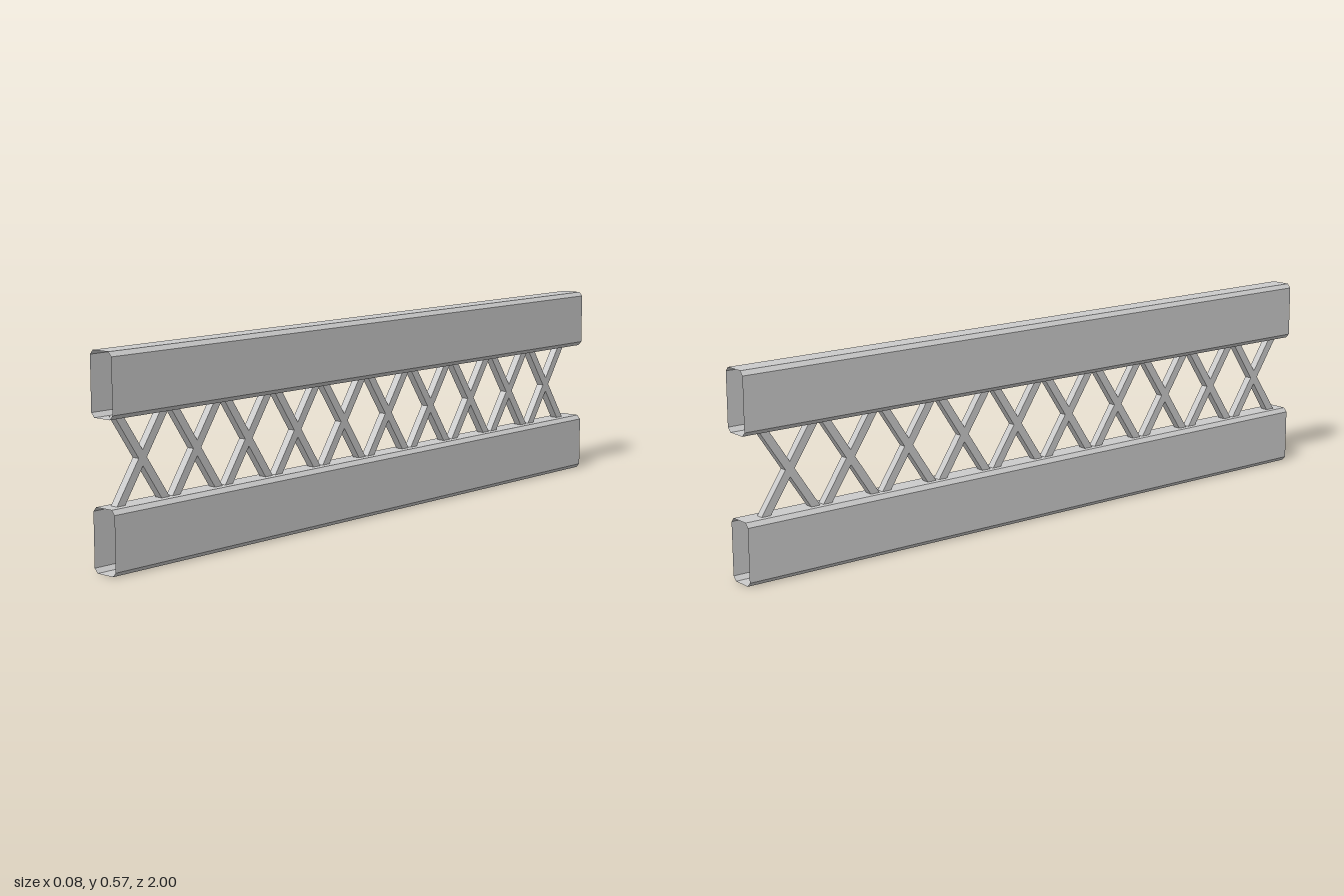
import * as THREE from 'three';

const material = new THREE.MeshStandardMaterial({ color: 0xcccccc, flatShading: true, side: THREE.DoubleSide });

const CHORD_HEIGHT = 0.172;
const TOTAL_HEIGHT = 0.573;
const HALF_WIDTH = 0.04;

// Open-ended thin-walled tube with chamfered corners, running along z
function chordGeometry() {
  const w = HALF_WIDTH, h = CHORD_HEIGHT / 2, cx = 0.011, cy = 0.012;
  const profile = [
    [w, -h + cy], [w, h - cy], [w - cx, h], [-w + cx, h],
    [-w, h - cy], [-w, -h + cy], [-w + cx, -h], [w - cx, -h],
  ];
  const positions = [];
  profile.forEach(([ax, ay], i) => {
    const [bx, by] = profile[(i + 1) % profile.length];
    positions.push(ax, ay, 1, ax, ay, -1, bx, by, -1);
    positions.push(ax, ay, 1, bx, by, -1, bx, by, 1);
  });
  const geometry = new THREE.BufferGeometry();
  geometry.setAttribute('position', new THREE.Float32BufferAttribute(positions, 3));
  geometry.computeVertexNormals();
  return geometry;
}

// Square bar leaning along z, its ends cut level with the chords
function strutGeometry(height, lean) {
  const geometry = new THREE.BoxGeometry(0.023, height, 0.028);
  const p = geometry.attributes.position;
  for (let i = 0; i < p.count; i++) p.setZ(i, p.getZ(i) + (lean * p.getY(i)) / height);
  geometry.computeVertexNormals();
  return geometry;
}

export function createModel() {
  const group = new THREE.Group();
  group.name = 'latticeGirder';

  // Upper and lower chords
  const chord = chordGeometry();
  for (const [name, y] of [['lowerChord', CHORD_HEIGHT / 2], ['upperChord', TOTAL_HEIGHT - CHORD_HEIGHT / 2]]) {
    const mesh = new THREE.Mesh(chord, material);
    mesh.name = name;
    mesh.position.y = y;
    group.add(mesh);
  }

  // Ten crossed pairs of struts between the chords
  const gap = TOTAL_HEIGHT - 2 * CHORD_HEIGHT + 0.001;
  const leans = [strutGeometry(gap, 0.154), strutGeometry(gap, -0.154)];
  for (let i = 0; i < 10; i++) {
    const brace = new THREE.Group();
    brace.name = 'crossBrace';
    brace.position.set(-0.002, TOTAL_HEIGHT / 2, 0.874 - i * 0.1916);
    for (const geometry of leans) {
      const strut = new THREE.Mesh(geometry, material);
      strut.name = 'strut';
      brace.add(strut);
    }
    group.add(brace);
  }
  return group;
}
